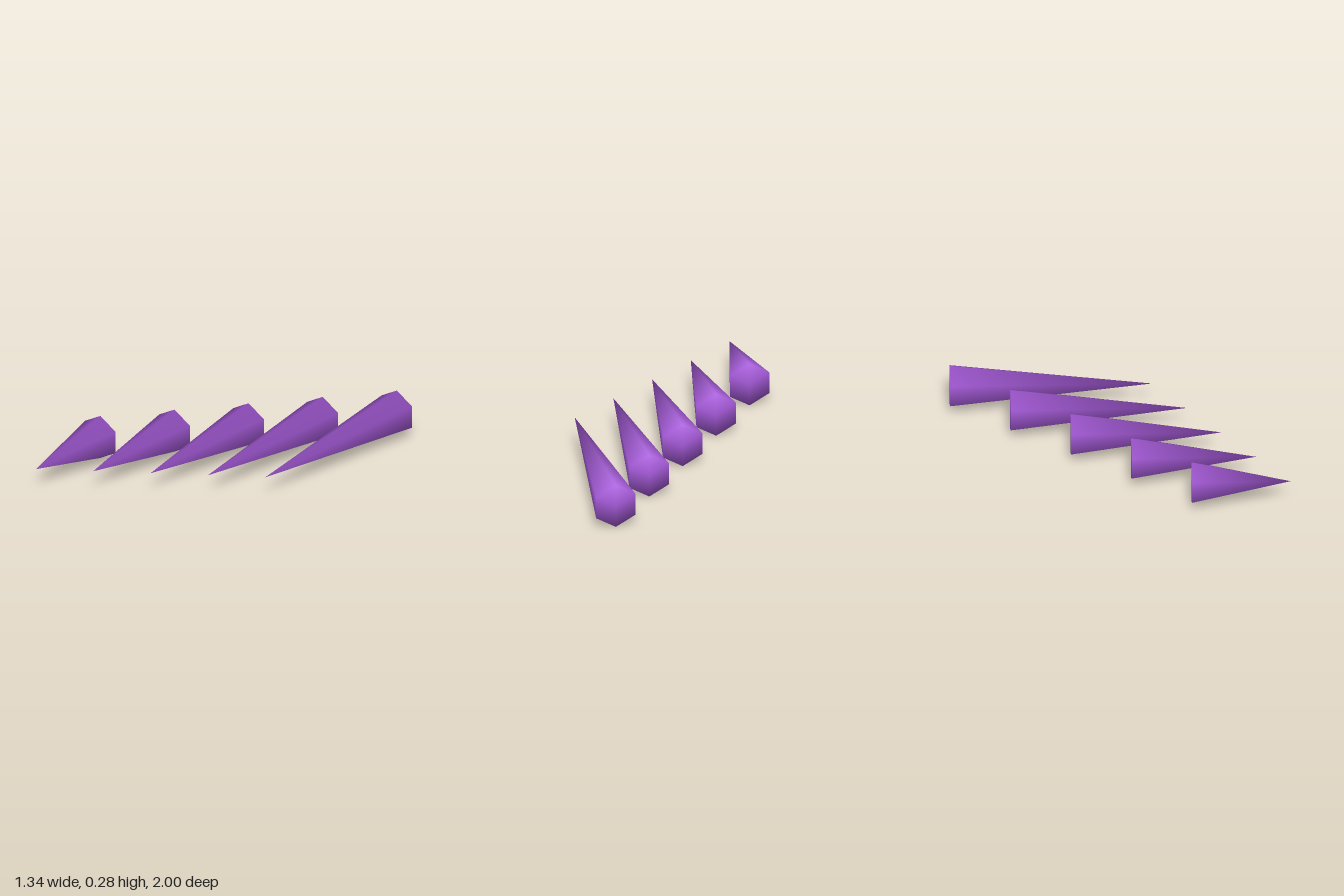
import * as THREE from 'three';
import { mergeVertices } from 'three/addons/utils/BufferGeometryUtils.js';

const RADIUS = 0.138;

// Six-sided spike along +z with its corners welded, so shading rolls over the rim
function spikeGeometry(length) {
  const cone = new THREE.ConeGeometry(RADIUS, length, 6, 1);
  cone.rotateX(Math.PI / 2);
  cone.deleteAttribute('normal');
  cone.deleteAttribute('uv');
  cone.clearGroups();
  const geo = mergeVertices(cone, 1e-4);

  // Rim normals lean backwards; tip and base centre point along the axis
  const slope = Math.atan2(RADIUS * Math.cos(Math.PI / 6), length);
  const sideAngle = Math.atan2(length, RADIUS / 2);
  const outward = 2 * sideAngle * Math.cos(slope) * Math.cos(Math.PI / 6);
  const along = 2 * sideAngle * Math.sin(slope) - (2 * Math.PI) / 3;
  const pos = geo.attributes.position;
  const normals = new Float32Array(pos.count * 3);
  const n = new THREE.Vector3();
  for (let i = 0; i < pos.count; i++) {
    const x = pos.getX(i), y = pos.getY(i), r = Math.hypot(x, y);
    if (r < 0.001) n.set(0, 0, Math.sign(pos.getZ(i)));
    else n.set((x / r) * outward, (y / r) * outward, along).normalize();
    n.toArray(normals, i * 3);
  }
  geo.setAttribute('normal', new THREE.BufferAttribute(normals, 3));
  return geo;
}

export function createModel() {
  const group = new THREE.Group();
  group.name = 'spikeRow';
  const purple = new THREE.MeshStandardMaterial({ color: 0xa55ad8 });
  purple.name = 'purple';

  // Five spikes, each longer and set further back than the one before
  for (let i = 0; i < 5; i++) {
    const tip = 1 - 0.2 * i;
    const base = 0.413 - 0.35325 * i;
    const spike = new THREE.Mesh(spikeGeometry(tip - base), purple);
    spike.name = `spike${i + 1}`;
    spike.position.set((i - 2) * 0.276, RADIUS, (tip + base) / 2);
    group.add(spike);
  }
  return group;
}
